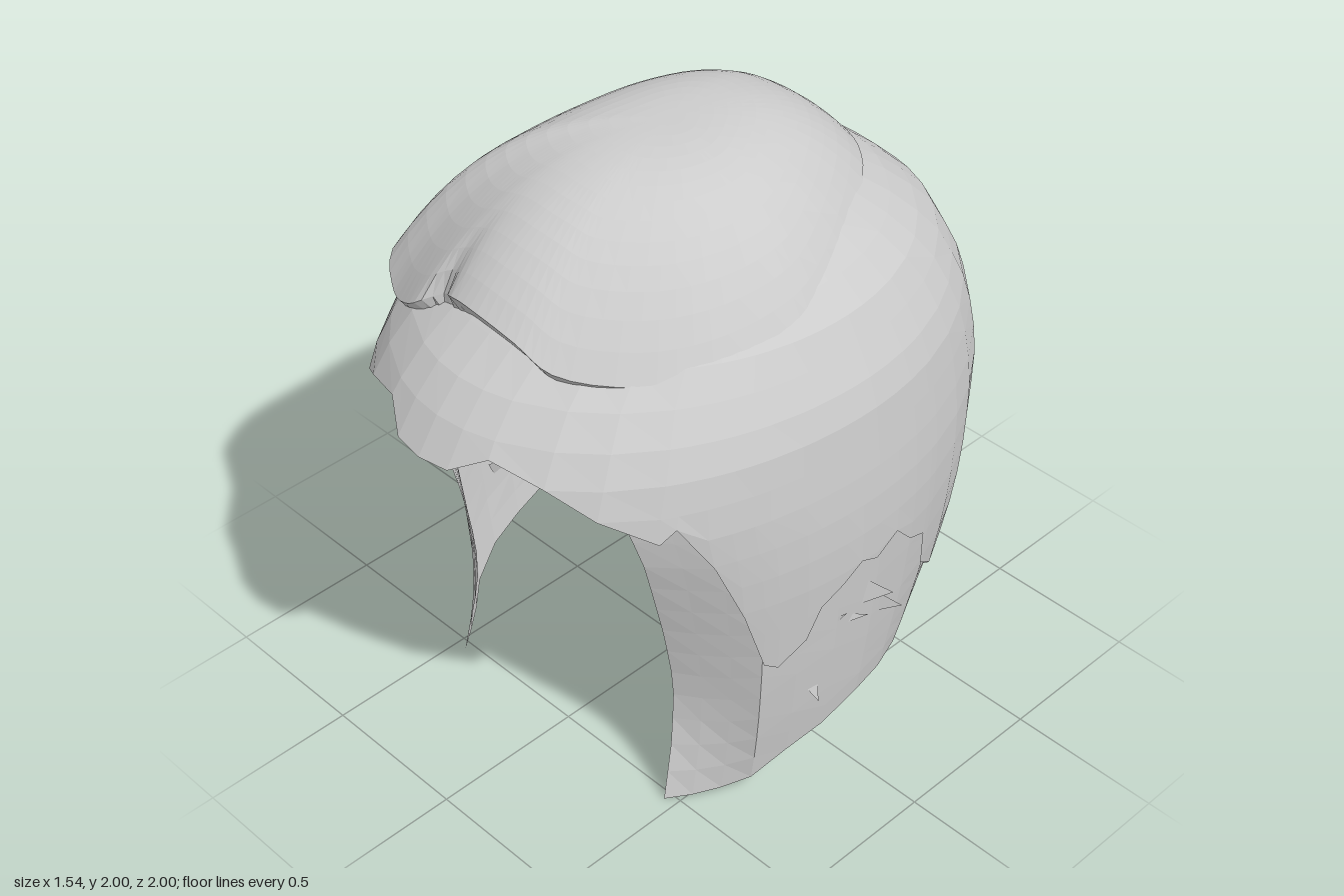
import * as THREE from 'three';

// Piecewise-linear lookup in a list of [key, value] pairs with rising keys
function lookup(table, k) {
  if (k <= table[0][0]) return table[0][1];
  for (let i = 1; i < table.length; i++) {
    const [k0, v0] = table[i - 1], [k1, v1] = table[i];
    if (k <= k1) return v0 + (v1 - v0) * (k - k0) / (k1 - k0);
  }
  return table[table.length - 1][1];
}

function indexedMesh(name, points, index, material) {
  const geometry = new THREE.BufferGeometry();
  geometry.setAttribute('position', new THREE.Float32BufferAttribute(points.flat(), 3));
  geometry.setIndex(index);
  geometry.computeVertexNormals();
  const mesh = new THREE.Mesh(geometry, material);
  mesh.name = name;
  return mesh;
}

// Surface through a grid of points: rows run downwards, columns run from front to left
function gridMesh(name, rows, material) {
  const n = rows[0].length, index = [];
  for (let i = 0; i < rows.length - 1; i++) {
    for (let j = 0; j < n - 1; j++) {
      const a = i * n + j, b = a + n;
      index.push(a, b, b + 1, a, b + 1, a + 1);
    }
  }
  return indexedMesh(name, rows.flat(), index, material);
}

// Head-shaped rings: half width, front depth and back depth by height
const WIDTH = [[0, 0.68], [0.3, 0.725], [0.5, 0.745], [0.7, 0.76], [0.9, 0.773], [1.1, 0.765],
  [1.4, 0.73], [1.63, 0.61], [1.8, 0.42], [1.9, 0.2], [1.95, 0]];
const FRONT = [[0.13, 0.84], [0.6, 0.9], [0.9, 0.96], [1.2, 1.06], [1.34, 1.0], [1.5, 0.89],
  [1.6, 0.75], [1.7, 0.6], [1.8, 0.42], [1.9, 0.2], [1.95, 0]];
const BACK = [[0.13, 0.65], [0.36, 0.8], [0.56, 0.92], [0.75, 0.97], [1.1, 1.0], [1.3, 0.95],
  [1.55, 0.81], [1.72, 0.6], [1.88, 0.3], [1.95, 0]];

function ringPoint(deg, y, scale = 1) {
  const a = THREE.MathUtils.degToRad(deg), c = Math.cos(a);
  return [scale * lookup(WIDTH, y) * Math.sin(a), y, scale * c * lookup(c > 0 ? FRONT : BACK, y)];
}

// Hem height of the outer hair by angle from the front
const HEM = [[0, 1.34], [8, 1.345], [16, 1.4], [29, 1.355], [40, 1.27], [51, 1.18], [54, 1.22],
  [59, 1.05], [63, 0.83], [67, 0.6], [70, 0.57], [76, 0.64], [79, 0.75], [84, 0.8], [88, 0.85],
  [92, 0.82], [97, 0.87], [102, 0.78], [107, 0.74], [109, 0.6], [118, 0.5], [127, 0.4],
  [138, 0.29], [150, 0.2], [158, 0.2], [166, 0.2], [172, 0.13], [180, 0.13]];

function outerHair(material) {
  const side = HEM.map(([deg]) => deg);
  const angles = [...side.slice(1).reverse().map((d) => -d), ...side];
  const rows = [], steps = 20;
  for (let i = 0; i <= steps; i++) {
    const level = 1.95 - 1.82 * (i / steps) ** 1.4;
    rows.push(angles.map((d) => ringPoint(d, Math.max(level, lookup(HEM, Math.abs(d))))));
  }
  return gridMesh('outerHair', rows, material);
}

// Under layer: sideburns curling in at the cheeks and wrapping round the nape
function underLayer(material) {
  const edgeX = [[0, 0.46], [0.3, 0.44], [1, 0.45], [1.36, 0.37]];
  const edgeZ = [[0, 0.53], [0.25, 0.475], [0.43, 0.47], [0.65, 0.51], [0.93, 0.58], [1.18, 0.65],
    [1.36, 0.68]];
  const columns = [[0, 0.005], [1, 0.01], [2, 0.03], [67, 0.07], [75, 0.14], [84, 0.18], [94, 0.23],
    [104, 0.24], [114, 0.24], [124, 0.24], [134, 0.23], [144, 0.21], [153, 0.2], [162, 0.2],
    [171, 0.2], [180, 0.2]];
  const point = (key, y) => {
    if (key > 2) return ringPoint(key, y, 0.98);
    // The first three columns span the cheek panel
    const end = ringPoint(67, y, 0.98), f = key / 3;
    return [lookup(edgeX, y) * (1 - f) + end[0] * f, y, lookup(edgeZ, y) * (1 - f) + end[2] * f];
  };
  const rows = [], steps = 14;
  for (let i = 0; i <= steps; i++) {
    const left = columns.map(([key, low]) => point(key, 1.36 - (1.36 - low) * i / steps));
    const right = left.slice(0, -1).reverse().map(([x, y, z]) => [-x, y, z]);
    rows.push([...left, ...right]);
  }
  return gridMesh('underLayer', rows, material);
}

// Swept crown: a dome over a lopsided outline, with a short parting at the right front
function sweptCrown(material) {
  const outline = [[0, 1.7, 0.77], [0.14, 1.67, 0.76], [0.25, 1.61, 0.73], [0.42, 1.58, 0.58],
    [0.53, 1.59, 0.4], [0.58, 1.62, 0.2], [0.57, 1.65, 0.04], [0.46, 1.725, -0.2],
    [0.28, 1.75, -0.45], [0.1, 1.73, -0.58], [-0.1, 1.72, -0.61], [-0.22, 1.73, -0.57],
    [-0.35, 1.73, -0.45], [-0.45, 1.735, -0.2], [-0.5, 1.72, 0.1], [-0.55, 1.64, 0.4],
    [-0.56, 1.56, 0.61], [-0.45, 1.51, 0.7], [-0.32, 1.56, 0.75], [-0.22, 1.64, 0.76],
    [-0.12, 1.69, 0.76]];
  const curve = new THREE.CatmullRomCurve3(outline.map((p) => new THREE.Vector3(...p)), true);
  const rim = curve.getPoints(84);
  const dome = (s) => rim.map((p) => {
    const parting = p.z > 0.5 ? Math.exp(-(((p.x + 0.21) / 0.05) ** 2)) * s ** 9 : 0;
    return [p.x * s, 2 - (2 - p.y) * s ** 2.8 - 0.02 * parting,
      0.04 + (p.z - 0.04) * s - 0.06 * parting];
  });
  const rows = [];
  for (let i = 0; i <= 14; i++) rows.push(dome(i / 14));
  // Lip tucked back under the rim
  rows.push(rim.map((p) => [p.x * 0.96, p.y - 0.08, p.z * 0.93]));
  return gridMesh('sweptCrown', rows, material);
}

// Loose locks in front of and below each ear, as [x, y, z] corners
function earLocks(side, material) {
  const locks = [
    [[0.69, 0.65, 0.28], [0.745, 0.65, 0.06], [0.71, 0.57, 0.16]],
    [[0.71, 0.67, 0.12], [0.75, 0.59, -0.03], [0.72, 0.6, 0.1]],
    [[0.73, 0.78, 0.03], [0.765, 0.63, -0.12], [0.73, 0.64, 0.02]],
    [[0.73, 0.66, -0.06], [0.745, 0.52, -0.19], [0.725, 0.55, -0.09]],
    [[0.68, 0.46, 0.21], [0.72, 0.33, 0.14], [0.7, 0.43, 0.13]],
  ];
  const points = locks.flat().map(([x, y, z]) => [x * side, y, z]);
  return indexedMesh(side > 0 ? 'leftEarLocks' : 'rightEarLocks', points, points.map((_, i) => i), material);
}

export function createModel() {
  const hair = new THREE.MeshStandardMaterial({ color: 0xcccccc, flatShading: true, side: THREE.DoubleSide });
  hair.name = 'hairGrey';
  const group = new THREE.Group();
  group.name = 'hair';
  group.add(outerHair(hair), underLayer(hair), sweptCrown(hair), earLocks(1, hair), earLocks(-1, hair));
  return group;
}
